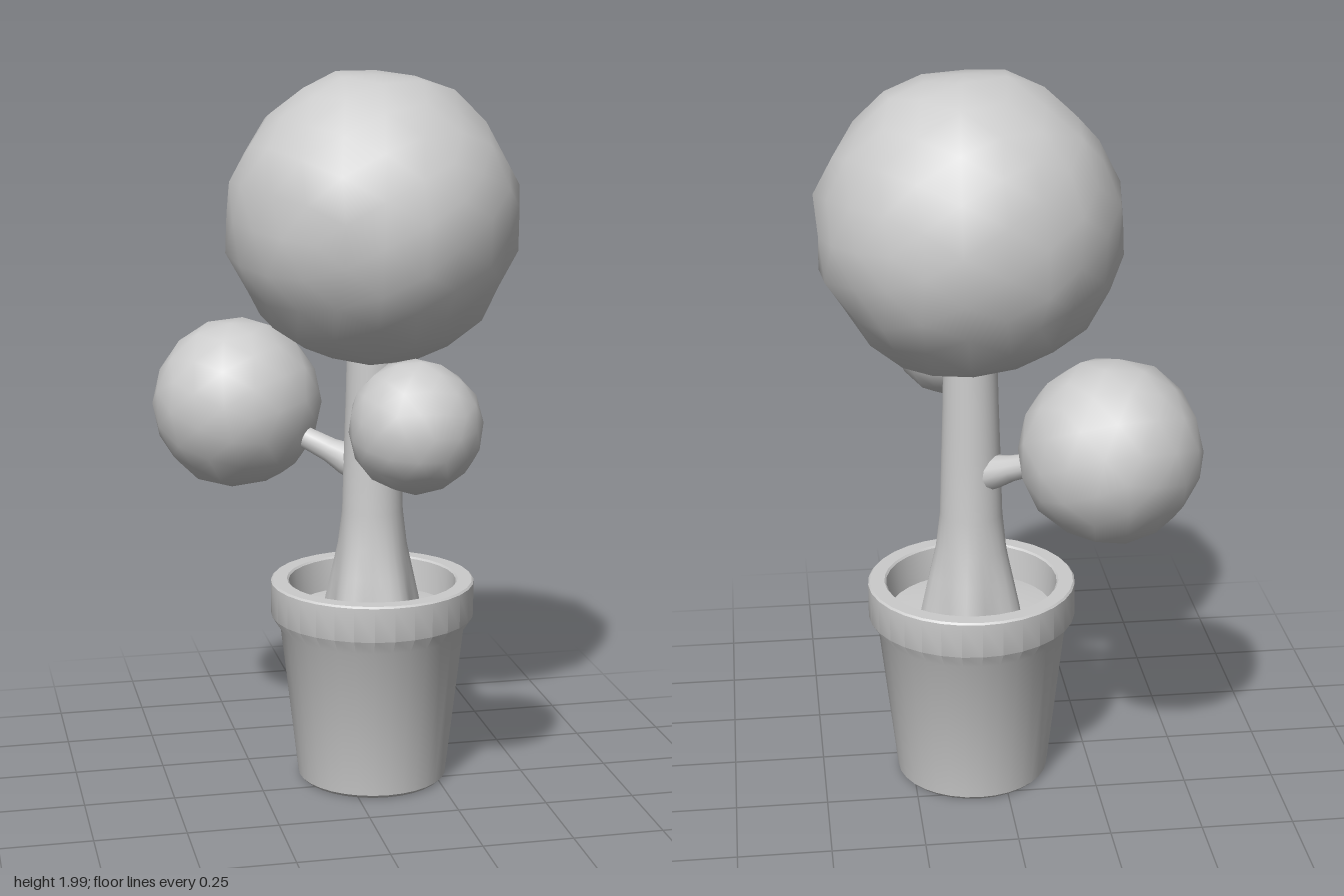
import * as THREE from 'three';
import { mergeVertices, toCreasedNormals } from 'three/addons/utils/BufferGeometryUtils.js';

const material = new THREE.MeshStandardMaterial({ color: 0xcccccc });
const AXIS = new THREE.Vector3(0.08, 0, -0.08); // shared centre of pot and trunk

function add(group, name, geometry, position) {
  const mesh = new THREE.Mesh(geometry, material);
  mesh.name = name;
  mesh.position.copy(position);
  group.add(mesh);
  return mesh;
}

const profile = (pairs) => pairs.map(([r, y]) => new THREE.Vector2(r, y));

// Lumpy smooth ball: each vertex is pushed in or out by layered waves
function foliage(radius, detail, lump, seed) {
  let geo = new THREE.IcosahedronGeometry(1, detail);
  geo.deleteAttribute('uv');
  geo.deleteAttribute('normal');
  geo = mergeVertices(geo, 1e-3);
  geo.rotateX(0.3 + seed).rotateZ(0.5 * seed);
  const p = geo.attributes.position;
  const v = new THREE.Vector3();
  for (let i = 0; i < p.count; i++) {
    v.fromBufferAttribute(p, i);
    const layers = Math.sin(v.y * 15 + 1.5 * Math.sin(v.x * 3 + v.z * 2 + seed));
    const bumps = Math.sin(v.x * 7 + seed) * Math.cos(v.z * 6 - v.y * 4);
    v.multiplyScalar(radius * (1 + lump * (0.6 * layers + 0.4 * bumps)));
    p.setXYZ(i, v.x, v.y, v.z);
  }
  geo.computeVertexNormals();
  return geo;
}

// Trunk: lathe whose foot spreads into root lobes
function trunkGeometry() {
  let geo = new THREE.LatheGeometry(profile([
    [0.135, 0.47], [0.127, 0.52], [0.112, 0.6], [0.096, 0.68], [0.085, 0.78],
    [0.08, 0.95], [0.075, 1.1], [0.07, 1.3],
  ]), 30);
  const p = geo.attributes.position;
  for (let i = 0; i < p.count; i++) {
    const x = p.getX(i), y = p.getY(i), z = p.getZ(i);
    const foot = Math.max(0, (0.75 - y) / 0.28);
    const k = 1 + 0.1 * foot * Math.cos(5 * Math.atan2(z, x) + 0.6);
    p.setXYZ(i, x * k, y, z * k);
  }
  geo.deleteAttribute('uv');
  geo.deleteAttribute('normal');
  geo = mergeVertices(geo, 1e-4);
  geo.computeVertexNormals();
  return geo;
}

// Branch: tapered rod between two points, flared where it leaves the trunk
function addBranch(group, name, from, to, radius) {
  const dir = to.clone().sub(from);
  const len = dir.length();
  const geo = new THREE.LatheGeometry(profile([
    [radius * 1.6, 0], [radius * 1.45, len * 0.22], [radius * 1.1, len * 0.4],
    [radius, len * 0.6], [radius * 0.9, len],
  ]), 12);
  const mesh = add(group, name, geo, from);
  mesh.quaternion.setFromUnitVectors(new THREE.Vector3(0, 1, 0), dir.normalize());
}

export function createModel() {
  const group = new THREE.Group();
  group.name = 'pottedTree';

  // Pot with a thick rim and an open top
  const pot = new THREE.LatheGeometry(profile([
    [0, 0], [0.2, 0], [0.21, 0.01], [0.259, 0.44], [0.285, 0.48], [0.285, 0.575],
    [0.28, 0.58], [0.24, 0.58], [0.235, 0.575], [0.225, 0.47],
  ]), 32);
  add(group, 'pot', toCreasedNormals(pot, 0.6), AXIS);

  // Slightly domed soil
  const soil = new THREE.LatheGeometry(profile([[0.23, 0.485], [0.15, 0.495], [0, 0.5]]), 32);
  add(group, 'soil', soil, AXIS);

  add(group, 'trunk', trunkGeometry(), AXIS);

  // Side branches
  addBranch(group, 'frontBranch',
    new THREE.Vector3(0.08, 1.01, -0.06), new THREE.Vector3(0.08, 1.08, 0.3), 0.03);
  addBranch(group, 'backBranch',
    new THREE.Vector3(0.07, 0.89, -0.09), new THREE.Vector3(-0.16, 1.0, -0.26), 0.032);

  // Clipped foliage balls
  add(group, 'crownFoliage', foliage(0.4, 3, 0.035, 1), new THREE.Vector3(0.08, 1.59, -0.085));
  add(group, 'backFoliage', foliage(0.242, 2, 0.018, 2.3), new THREE.Vector3(-0.257, 1.045, -0.335));
  add(group, 'frontFoliage', foliage(0.173, 2, 0.018, 4.1), new THREE.Vector3(0.082, 1.12, 0.407));

  return group;
}
